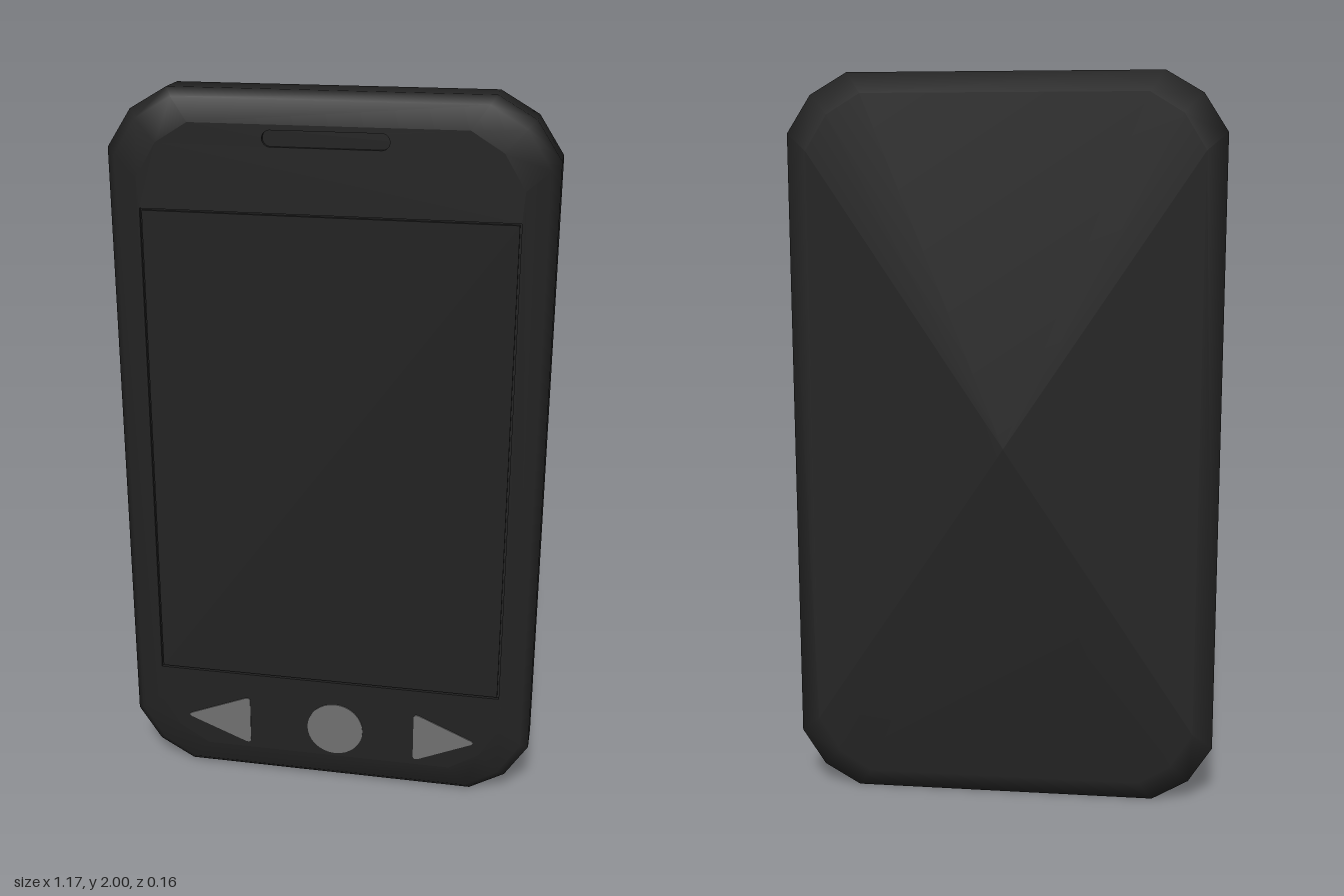
import * as THREE from 'three';

const HALF_W = 0.585, MID_Y = 1;
const black = new THREE.MeshStandardMaterial({ color: 0x222222 });
black.name = 'casing black';
const grey = new THREE.MeshStandardMaterial({ color: 0x707070 });
grey.name = 'button grey';

// Chamfered outline, shrunk by an inset, counter-clockwise seen from the front
function outline(inset) {
  const corner = [[0.42, 1], [0.52, 0.942], [HALF_W, 0.842]];
  const sx = (HALF_W - inset) / HALF_W, sy = 1 - inset;
  const pts = [];
  const add = (list, mx, my) => list.forEach(([x, y]) =>
    pts.push(new THREE.Vector2(x * mx * sx, MID_Y + y * my * sy)));
  const back = [...corner].reverse();
  add(corner, 1, -1);
  add(back, 1, 1);
  add(corner, -1, 1);
  add(back, -1, -1);
  return pts;
}

// Shell lofted through rings of [z, inset], closed at the back
function shellGeometry(rings) {
  const pos = [], index = [];
  const n = outline(0).length;
  for (const [z, inset] of rings) for (const p of outline(inset)) pos.push(p.x, p.y, z);
  for (let i = 0; i < rings.length - 1; i++) {
    for (let j = 0; j < n; j++) {
      const k = (j + 1) % n;
      const a = i * n + j, b = i * n + k, c = b + n, d = a + n;
      index.push(a, b, c, a, c, d);
    }
  }
  const centre = pos.length / 3;
  pos.push(0, MID_Y, rings[0][0]);
  for (let j = 0; j < n; j++) index.push(centre, (j + 1) % n, j);
  const g = new THREE.BufferGeometry();
  g.setAttribute('position', new THREE.Float32BufferAttribute(pos, 3));
  g.setIndex(index);
  g.computeVertexNormals();
  return g;
}

function rectangle(x0, x1, y0, y1, Type) {
  return new Type([[x0, y0], [x1, y0], [x1, y1], [x0, y1]].map(p => new THREE.Vector2(...p)));
}

// Flat-sided plate from a shape, between two depths
function plate(shape, z0, z1) {
  const g = new THREE.ExtrudeGeometry(shape, { depth: z1 - z0, bevelEnabled: false, curveSegments: 16 });
  return g.translate(0, 0, z0);
}

// Triangle with softened corners
function arrowShape(tipX, baseX, y, halfH) {
  const c = [[tipX, y], [baseX, y - halfH], [baseX, y + halfH]].map(p => new THREE.Vector2(...p));
  const s = new THREE.Shape();
  c.forEach((p, i) => {
    const a = p.clone().lerp(c[(i + 2) % 3], 0.1), b = p.clone().lerp(c[(i + 1) % 3], 0.1);
    if (i === 0) s.moveTo(a.x, a.y); else s.lineTo(a.x, a.y);
    s.quadraticCurveTo(p.x, p.y, b.x, b.y);
  });
  s.closePath();
  return s;
}

export function createModel() {
  const model = new THREE.Group();
  const add = (name, geometry, material) => {
    const mesh = new THREE.Mesh(geometry, material);
    mesh.name = name;
    model.add(mesh);
  };

  // Rounded casing
  add('casing', shellGeometry([
    [-0.08, 0.055], [-0.055, 0], [0.042, 0], [0.066, 0.022], [0.077, 0.083],
  ]), black);

  // Front panel with openings for the screen and the earpiece
  const panel = new THREE.Shape(outline(0.083));
  panel.holes.push(rectangle(-0.496, 0.496, 0.328, 1.692, THREE.Path));
  const slot = new THREE.Path();
  slot.absarc(0.14, 1.882, 0.021, -Math.PI / 2, Math.PI / 2);
  slot.absarc(-0.145, 1.882, 0.021, Math.PI / 2, Math.PI * 1.5);
  slot.closePath();
  panel.holes.push(slot);
  add('frontPanel', plate(panel, 0.066, 0.077), black);

  // Floor seen in the earpiece slot and the gap round the screen
  const floor = new THREE.ShapeGeometry(new THREE.Shape(outline(0.083)));
  add('recessFloor', floor.translate(0, 0, 0.067), black);

  // Screen, set in its opening with a hairline gap
  add('screen', plate(rectangle(-0.491, 0.491, 0.333, 1.687, THREE.Shape), 0.067, 0.0765), black);

  // Buttons
  const disc = new THREE.Shape().absarc(0.024, 0.175, 0.082, 0, Math.PI * 2);
  add('homeButton', plate(disc, 0.074, 0.08), grey);
  add('rightArrowButton', plate(arrowShape(-0.425, -0.23, 0.175, 0.079), 0.074, 0.08), grey);
  add('leftArrowButton', plate(arrowShape(0.437, 0.255, 0.175, 0.079), 0.074, 0.08), grey);

  return model;
}
